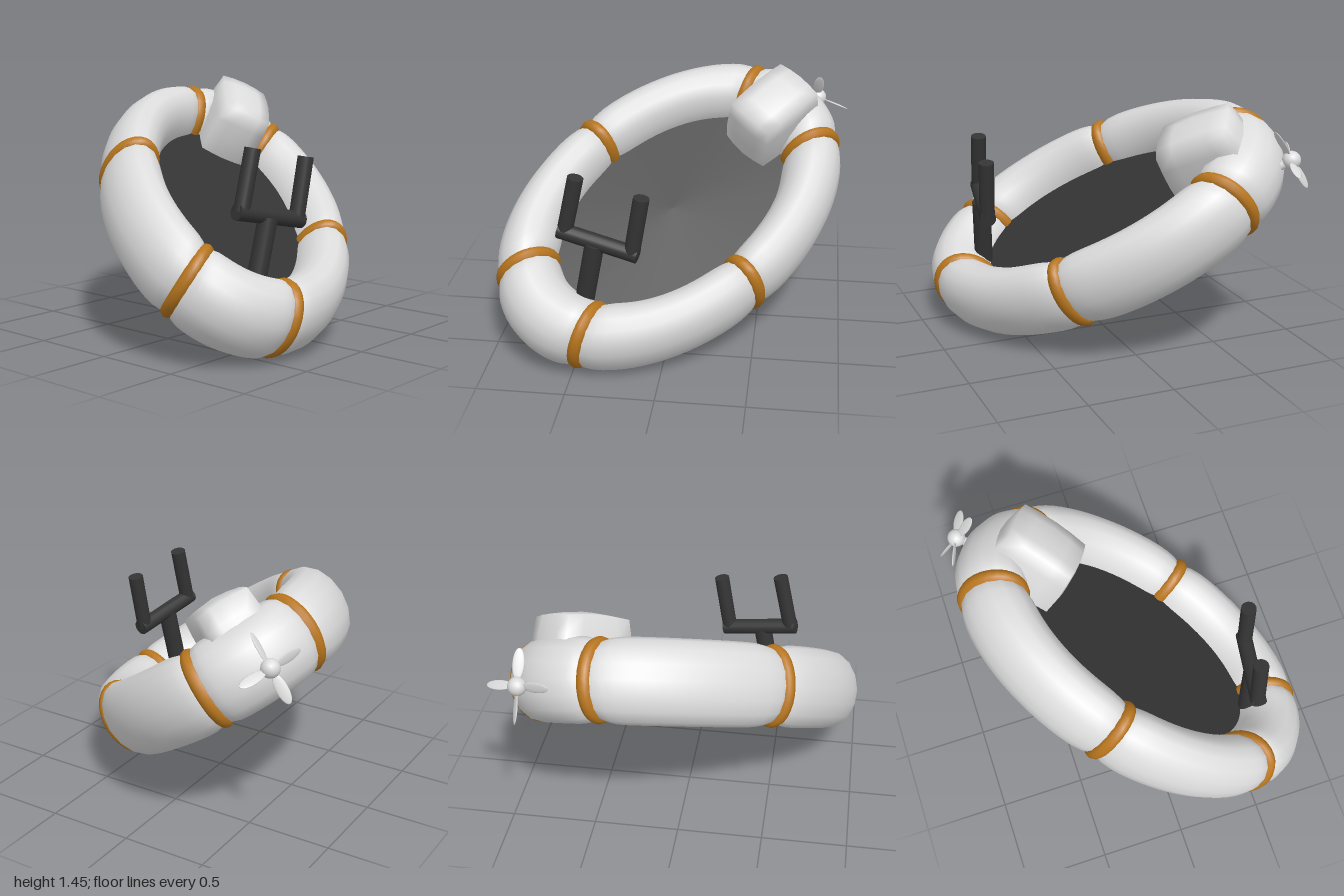
import * as THREE from 'three';
import { mergeVertices } from 'three/addons/utils/BufferGeometryUtils.js';
import { ParametricGeometry } from 'three/addons/geometries/ParametricGeometry.js';

const material = (name, color) => {
  const m = new THREE.MeshStandardMaterial({ color });
  m.name = name;
  return m;
};

export function createModel() {
  const white = material('white', 0xdcdcdc);
  const orange = material('orange', 0xb8761e);
  const dark = material('charcoal', 0x343434);

  const model = new THREE.Group();
  model.name = 'inflatableBoat';
  const add = (parent, name, geometry, mat) => {
    const mesh = new THREE.Mesh(geometry, mat);
    mesh.name = name;
    parent.add(mesh);
    return mesh;
  };

  // Tilted boat frame: x across, y up from the deck, z towards the bow
  const up = new THREE.Vector3(0.578, 0.814, -0.057).normalize();
  const bow = new THREE.Vector3(0.637, -0.406, 0.656);
  bow.addScaledVector(up, -bow.dot(up)).normalize();
  const across = new THREE.Vector3().crossVectors(up, bow);
  const boat = new THREE.Group();
  boat.name = 'boat';
  boat.quaternion.setFromRotationMatrix(new THREE.Matrix4().makeBasis(across, up, bow));
  boat.position.set(0.016, 0.693, 0.016);
  model.add(boat);

  // Inflated oval ring; the tube is narrower across the boat than along it
  const LONG = 0.985, WIDE = 0.632, TUBE = 0.236, SQUASH_LONG = 0.87, SQUASH_WIDE = 0.67;
  const ringPoint = (t, out, y, target) => target.set(
    Math.sin(t) * (WIDE + SQUASH_WIDE * out), y, Math.cos(t) * (LONG + SQUASH_LONG * out));

  // Six segments pinched at the ends, with a band round each joint
  const joints = [-26, 24, 88, 153, 204, 271.5, 334].map(THREE.MathUtils.degToRad);
  for (let i = 0; i < 6; i++) {
    const t0 = joints[i], t1 = joints[i + 1];
    const segment = (s, w, target) => {
      const tube = TUBE * (1 - 0.17 * Math.pow(Math.abs(2 * s - 1), 9));
      const a = w * Math.PI * 2;
      ringPoint(t0 + (t1 - t0) * s, Math.cos(a) * tube, Math.sin(a) * tube, target);
    };
    add(boat, 'tubeSegment', new ParametricGeometry(segment, 18, 16), white);

    const out = new THREE.Vector3(Math.sin(t0) * SQUASH_WIDE, 0, Math.cos(t0) * SQUASH_LONG);
    const along = new THREE.Vector3(out.z, 0, -out.x).normalize().multiplyScalar(-0.9);
    const place = new THREE.Matrix4().makeBasis(out, new THREE.Vector3(0, 1, 0), along);
    place.setPosition(ringPoint(t0, 0, 0, new THREE.Vector3()));
    add(boat, 'band', new THREE.TorusGeometry(0.189, 0.047, 10, 28).applyMatrix4(place), orange);
  }

  // Floor
  const floor = add(boat, 'floor', new THREE.CylinderGeometry(1, 1, 0.04, 48), dark);
  floor.scale.set(WIDE, 1, LONG);

  // Puffy motor housing: a box partly rounded towards a sphere, shorter at the top
  let housing = new THREE.BoxGeometry(2, 2, 2, 4, 4, 4);
  housing.deleteAttribute('uv');
  housing.deleteAttribute('normal');
  housing = mergeVertices(housing);
  const p = housing.attributes.position;
  const corner = new THREE.Vector3();
  for (let i = 0; i < p.count; i++) {
    corner.fromBufferAttribute(p, i);
    corner.lerp(corner.clone().normalize(), 0.36);
    p.setXYZ(i, corner.x, corner.y, corner.z * (1 - 0.06 * (corner.y + 1)));
  }
  housing.scale(0.178, 0.24, 0.275);
  housing.computeVertexNormals();
  add(boat, 'motorHousing', housing, white).position.set(0.01, 0.14, -0.825);

  // Propeller at the stern, turned slightly to one side
  const propeller = new THREE.Group();
  propeller.name = 'propeller';
  propeller.position.set(0.02, -0.045, -1.24);
  propeller.rotation.y = 0.3;
  boat.add(propeller);
  add(propeller, 'hub', new THREE.SphereGeometry(0.052, 16, 12), white);
  const shaft = add(propeller, 'shaft', new THREE.CylinderGeometry(0.025, 0.025, 0.16, 12), white);
  shaft.rotation.x = Math.PI / 2;
  shaft.position.z = 0.07;
  for (let i = 0; i < 4; i++) {
    const arm = new THREE.Group();
    arm.name = 'bladeArm';
    arm.rotation.z = i * Math.PI / 2 + 0.05;
    propeller.add(arm);
    const blade = add(arm, 'blade', new THREE.SphereGeometry(1, 14, 10), white);
    blade.scale.set(0.033, 0.085, 0.007);
    blade.position.y = 0.12;
    blade.rotation.y = 0.6;
  }

  // Steering fork: stem, crossbar and two handles
  const bar = (name, from, to, radius) => {
    const a = new THREE.Vector3(...from), b = new THREE.Vector3(...to);
    const d = b.clone().sub(a);
    const mesh = add(model, name, new THREE.CylinderGeometry(radius, radius, d.length(), 16), dark);
    mesh.position.copy(a).add(b).multiplyScalar(0.5);
    mesh.quaternion.setFromUnitVectors(new THREE.Vector3(0, 1, 0), d.normalize());
  };
  bar('steeringStem', [0.605, 0.35, 0.455], [0.635, 0.755, 0.375], 0.055);
  bar('crossbar', [0.59, 0.805, 0.585], [0.67, 0.715, 0.13], 0.047);
  bar('handle', [0.595, 0.8, 0.55], [0.61, 1.135, 0.475], 0.045);
  bar('handle', [0.665, 0.72, 0.165], [0.68, 1.065, 0.105], 0.045);

  return model;
}
